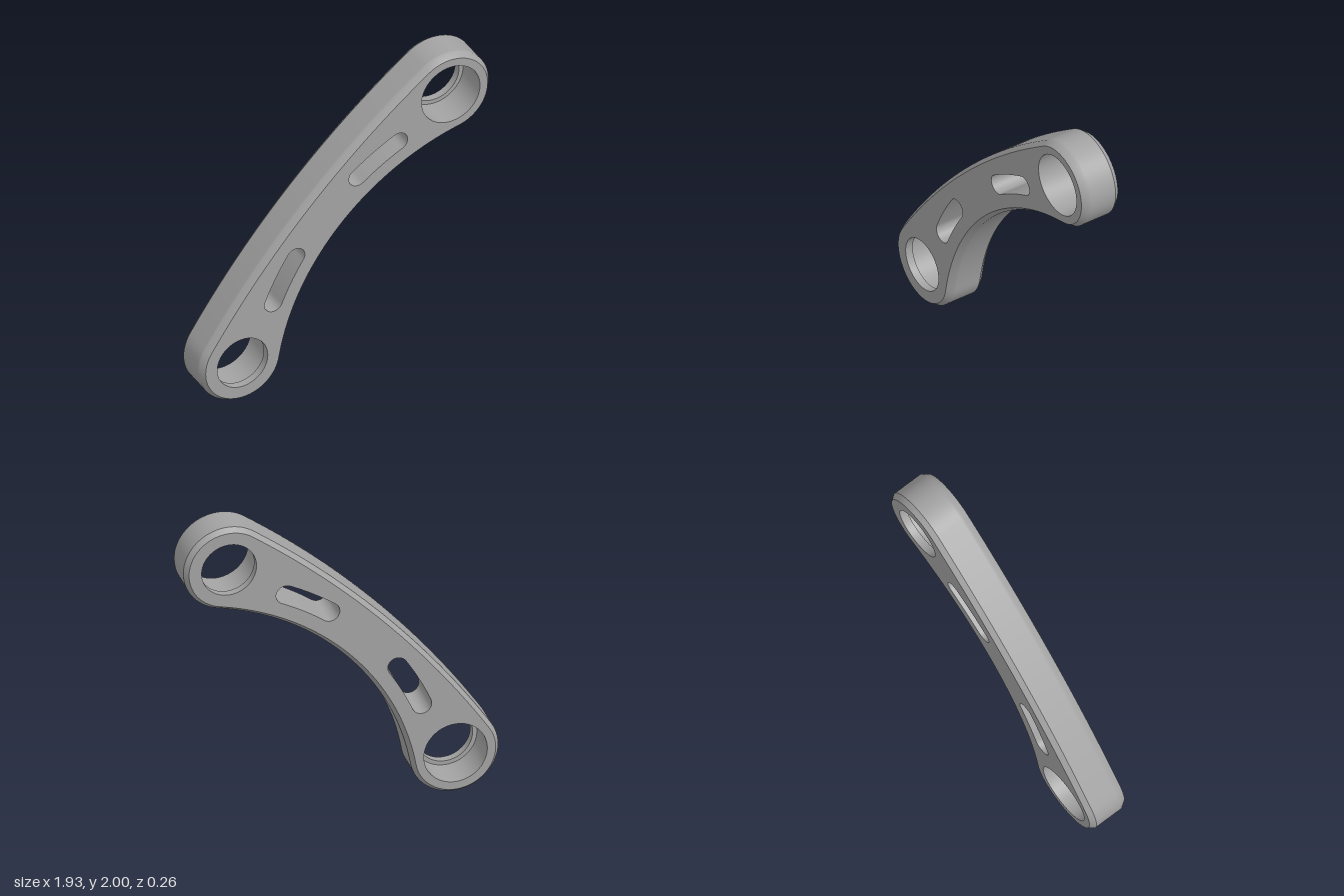
import * as THREE from 'three';

const END_X = 0.693, MID_Y = 1, END_DY = 0.73;   // eye centres relative to the middle
const END_R = 0.27, LIP_R = 0.168, BORE_R = 0.194, HALF = 0.13, SHOULDER = 0.08;
const L = Math.hypot(END_X, END_DY);
const AXIS = Math.atan2(END_DY, END_X) + Math.PI / 2; // direction the arm bows towards

const polar = (c, r, a) => new THREE.Vector2(c.x + r * Math.cos(a), c.y + r * Math.sin(a));
const middle = new THREE.Vector2(0, MID_Y);
const upper = new THREE.Vector2(END_X, MID_Y + END_DY);
const lower = new THREE.Vector2(-END_X, MID_Y - END_DY);

// Centres of the concave and convex edge arcs
const INNER_D = 1.502, OUTER_D = 5.35;
const innerC = polar(middle, -INNER_D, AXIS), outerC = polar(middle, -OUTER_D, AXIS);
const innerA = Math.atan2(L, INNER_D), outerA = Math.atan2(L, OUTER_D);
const innerR = Math.hypot(L, INNER_D) - END_R, outerR = Math.hypot(L, OUTER_D) + END_R;

function arc(c, r, a0, a1, n) {
  return Array.from({ length: n }, (_, i) => polar(c, r, a0 + (a1 - a0) * i / n));
}

// Counter-clockwise outline of the arm, shrunk by an inset
function outline(inset) {
  const r = END_R - inset;
  return [
    ...arc(upper, r, AXIS - innerA - Math.PI, AXIS - outerA, 48),
    ...arc(outerC, outerR - inset, AXIS - outerA, AXIS + outerA, 40),
    ...arc(lower, r, AXIS + outerA, AXIS + innerA + Math.PI, 48),
    ...arc(innerC, innerR + inset, AXIS + innerA, AXIS - innerA, 48),
  ];
}

// Clockwise hole loops
const circle = (c, r) => arc(c, r, 2 * Math.PI, 0, 64);
function slot(side) {
  const R = 1.71, w = 0.06, deg = Math.PI / 180;
  const mid = AXIS + side * 15.4 * deg, a = mid - 5.3 * deg, b = mid + 5.3 * deg;
  return [
    ...arc(innerC, R + w, a, b, 16),
    ...arc(polar(innerC, R, b), w, b, b + Math.PI, 16),
    ...arc(innerC, R - w, b, a, 16),
    ...arc(polar(innerC, R, a), w, a + Math.PI, a + 2 * Math.PI, 16),
  ].reverse();
}

// Smooth wall through loops of equal length, ordered from back to front
function wall(rows) {
  const n = rows[0].loop.length, pos = [], idx = [];
  for (const { loop, z } of rows) for (const p of loop) pos.push(p.x, p.y, z);
  for (let k = 0; k + 1 < rows.length; k++) {
    for (let i = 0; i < n; i++) {
      const a = k * n + i, b = k * n + (i + 1) % n;
      idx.push(a, b, b + n, a, b + n, a + n);
    }
  }
  const g = new THREE.BufferGeometry();
  g.setAttribute('position', new THREE.Float32BufferAttribute(pos, 3));
  g.setIndex(idx);
  g.computeVertexNormals();
  return g;
}

// Flat face with holes, turned to +z or -z
function face(loop, holes, z, front) {
  const shape = new THREE.Shape(loop);
  shape.holes = holes.map(h => new THREE.Path(h));
  const g = new THREE.ShapeGeometry(shape);
  if (!front) g.index.array.reverse();
  g.translate(0, 0, z);
  g.computeVertexNormals();
  return g;
}

export function createModel() {
  const model = new THREE.Group();
  model.name = 'linkArm';
  const metal = new THREE.MeshStandardMaterial({ color: 0xa3a3a3 });
  metal.name = 'grey metal';
  const add = (name, geometry) => {
    const mesh = new THREE.Mesh(geometry, metal);
    mesh.name = name;
    model.add(mesh);
  };

  // Outer wall with a softened front edge and a crisp back chamfer
  const full = outline(0), small = outline(0.025);
  add('outerWall', wall([
    { loop: full, z: -0.097 }, { loop: full, z: 0.075 },
    { loop: full, z: 0.093 }, { loop: small, z: HALF },
  ]));
  add('backChamfer', wall([{ loop: small, z: -HALF }, { loop: full, z: -0.097 }]));

  // Flat faces; each eye has its wide bore on the opposite side
  const slots = [slot(-1), slot(1)];
  add('frontFace', face(small, [circle(upper, BORE_R), circle(lower, LIP_R), ...slots], HALF, true));
  add('backFace', face(small, [circle(upper, LIP_R), circle(lower, BORE_R), ...slots], -HALF, false));

  // Curved slots through the arm
  slots.forEach((loop, i) => add(i ? 'lowerSlot' : 'upperSlot',
    wall([{ loop, z: -HALF }, { loop, z: HALF }])));

  // Stepped eyes: wide bore, shoulder and retaining lip
  for (const [name, c, s] of [['upper', upper, 1], ['lower', lower, -1]]) {
    const step = -s * SHOULDER;
    const tube = (r, z0, z1) => {
      const loop = circle(c, r);
      return wall([{ loop, z: Math.min(z0, z1) }, { loop, z: Math.max(z0, z1) }]);
    };
    add(name + 'Bore', tube(BORE_R, step, s * HALF));
    add(name + 'Lip', tube(LIP_R, -s * HALF, step));
    add(name + 'Shoulder', face(circle(c, BORE_R).reverse(), [circle(c, LIP_R)], step, s > 0));
  }
  return model;
}
